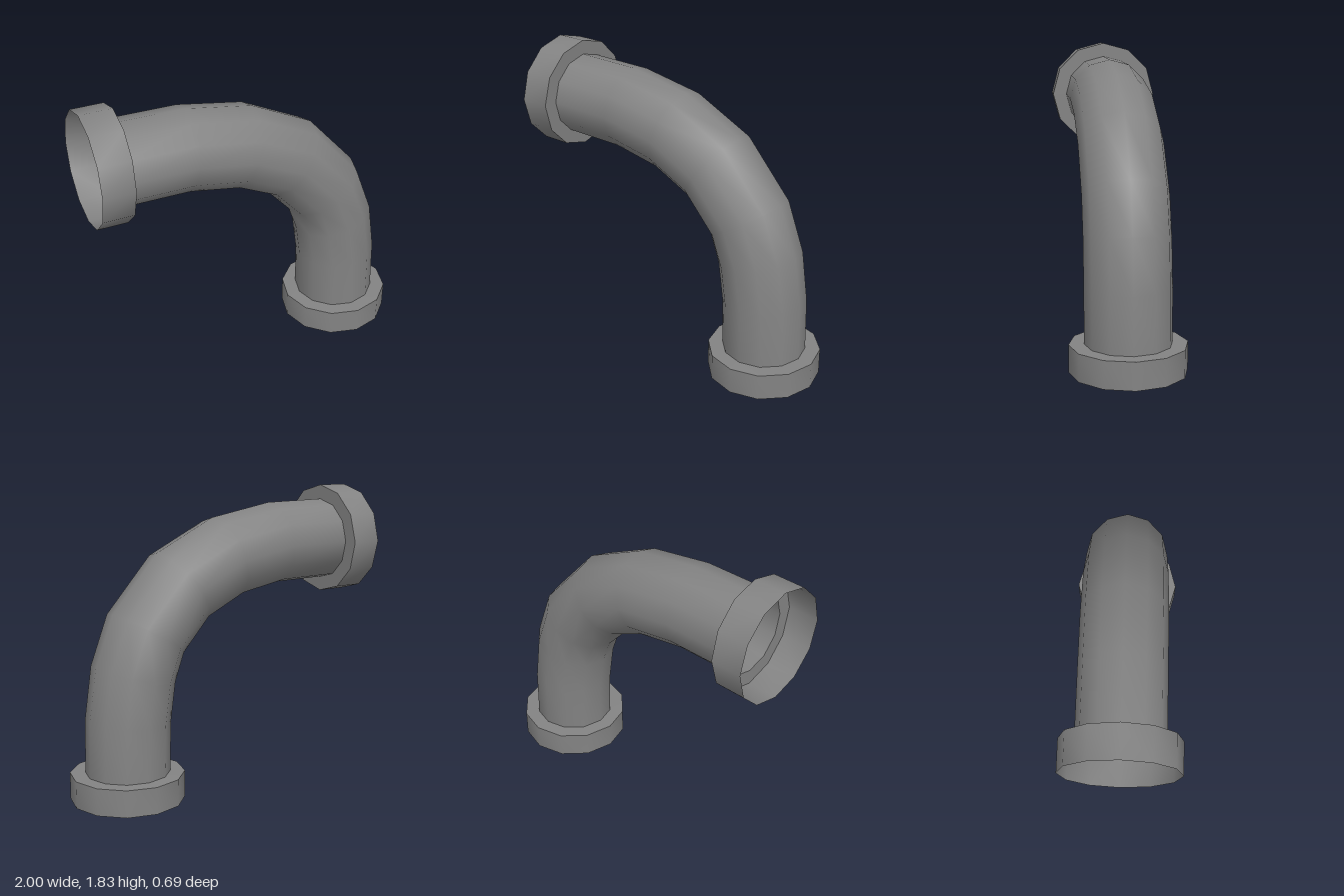
import * as THREE from 'three';

const SIDES = 12;
const material = new THREE.MeshStandardMaterial({ color: 0x838383, side: THREE.DoubleSide });

// Joins round sections into a smooth open skin. Each section is given by its
// outer and inner bend points in the xy plane: [outerX, outerY, innerX, innerY].
function loft(name, sections) {
  const positions = [], index = [];
  sections.forEach(([ox, oy, ix, iy], i) => {
    const hx = (ox - ix) / 2, hy = (oy - iy) / 2, radius = Math.hypot(hx, hy);
    for (let j = 0; j < SIDES; j++) {
      const a = (j / SIDES) * Math.PI * 2;
      positions.push(
        (ox + ix) / 2 + hx * Math.cos(a),
        (oy + iy) / 2 + hy * Math.cos(a),
        radius * Math.sin(a)
      );
      if (i < sections.length - 1) {
        const p = i * SIDES + j, q = i * SIDES + (j + 1) % SIDES;
        index.push(p, q, p + SIDES, q, q + SIDES, p + SIDES);
      }
    }
  });
  const geometry = new THREE.BufferGeometry();
  geometry.setAttribute('position', new THREE.Float32BufferAttribute(positions, 3));
  geometry.setIndex(index);
  geometry.computeVertexNormals();
  const mesh = new THREE.Mesh(geometry, material);
  mesh.name = name;
  return mesh;
}

// Hollow collar: a straight wall plus a flat shoulder that meets the pipe
function collar(name, wall, shoulder) {
  const group = new THREE.Group();
  group.name = name;
  group.add(loft(name + 'Wall', wall), loft(name + 'Shoulder', shoulder));
  return group;
}

export function createModel() {
  const model = new THREE.Group();
  model.name = 'pipeElbow';

  // Curved pipe, from the side opening down to the bottom opening
  const bend = [
    [-0.802, 1.738, -0.813, 1.228],
    [-0.38, 1.732, -0.415, 1.224],
    [0.04, 1.658, -0.11, 1.168],
    [0.43, 1.468, 0.13, 1.053],
    [0.735, 1.128, 0.30, 0.863],
    [0.853, 0.82, 0.358, 0.70],
    [0.90, 0.50, 0.39, 0.47],
    [0.908, 0.165, 0.398, 0.165],
  ];
  model.add(loft('pipe', bend));

  // Collars at both openings
  const sideMouth = [-1, 1.828, -1, 1.138], sideEdge = [-0.80, 1.828, -0.815, 1.138];
  model.add(collar('sideCollar', [sideMouth, sideEdge], [sideEdge, bend[0]]));

  const bottomEdge = [1, 0.165, 0.31, 0.162], bottomMouth = [1, 0, 0.31, 0];
  model.add(collar('bottomCollar', [bottomEdge, bottomMouth], [bend[bend.length - 1], bottomEdge]));

  return model;
}
